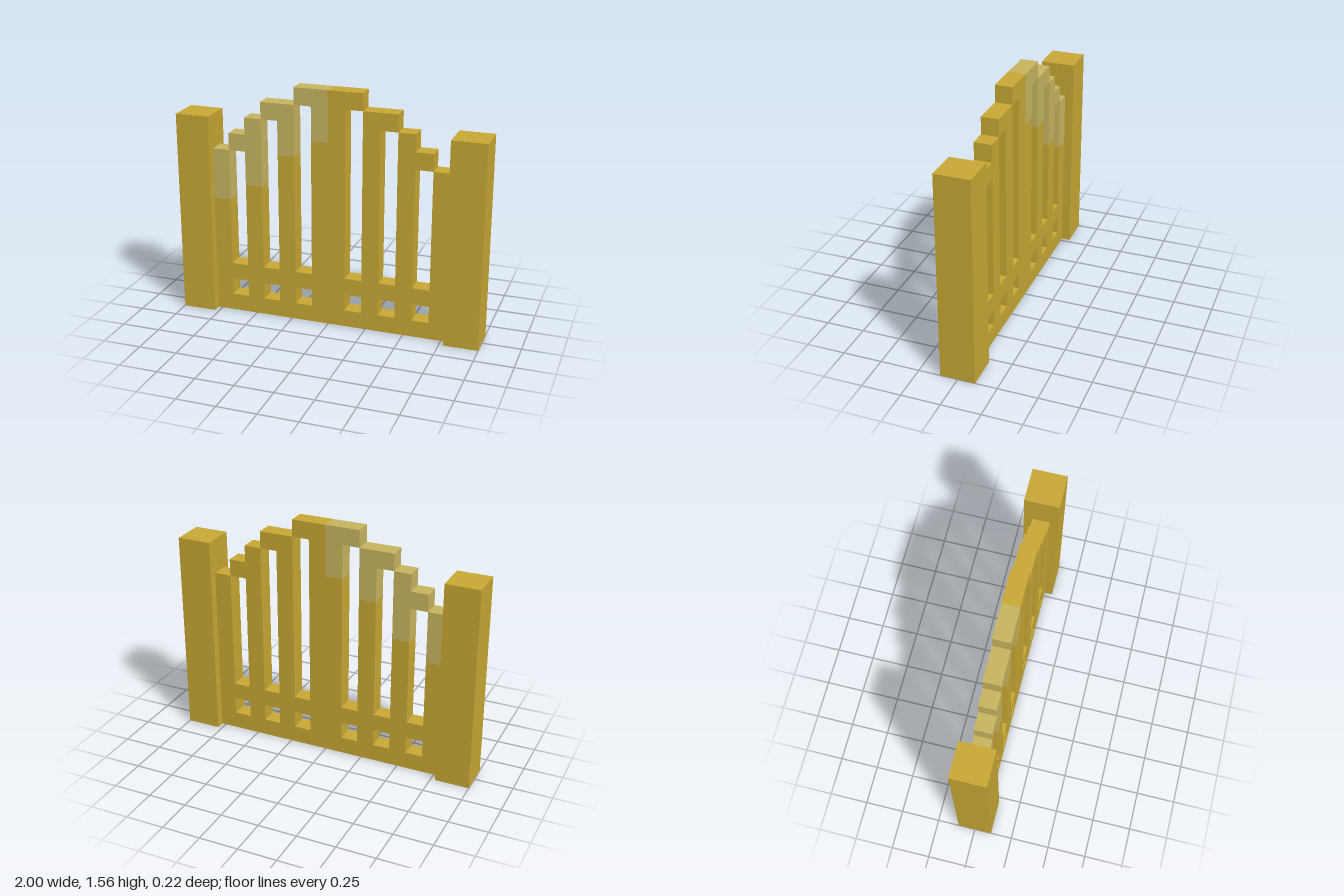
import * as THREE from 'three';

const U = 1 / 9; // every part sits on a grid of this unit

export function createModel() {
  const gold = new THREE.MeshStandardMaterial({ color: 0xc8a834 });
  gold.name = 'gold';
  const paleGold = new THREE.MeshStandardMaterial({ color: 0xc8b560 });
  paleGold.name = 'paleGold';

  const gate = new THREE.Group();
  gate.name = 'gate';

  // Box from grid limits, centred on z = 0
  const block = (name, x0, x1, y0, y1, depth, material) => {
    const mesh = new THREE.Mesh(new THREE.BoxGeometry((x1 - x0) * U, (y1 - y0) * U, depth * U), material);
    mesh.position.set((x0 + x1) / 2 * U, (y0 + y1) / 2 * U, 0);
    mesh.name = name;
    gate.add(mesh);
  };

  const rectangle = (path, x0, x1, y0, y1) => path
    .moveTo(x0 * U, y0 * U).lineTo(x1 * U, y0 * U).lineTo(x1 * U, y1 * U).lineTo(x0 * U, y1 * U).closePath();

  // Bottom rails with a row of square openings
  const base = rectangle(new THREE.Shape(), -7, 7, 0, 3);
  for (const x of [-6, -4, -2, 1, 3, 5]) base.holes.push(rectangle(new THREE.Path(), x, x + 1, 1, 2));
  const baseGeometry = new THREE.ExtrudeGeometry(base, { depth: U, bevelEnabled: false });
  baseGeometry.translate(0, 0, -U / 2);
  const lattice = new THREE.Mesh(baseGeometry, gold);
  lattice.name = 'bottomRails';
  gate.add(lattice);

  // Pickets: inner edge, width, top, and where the pale upper end starts on the right
  const pickets = [[0, 1, 14, 11], [2, 1, 13, 10], [4, 1, 12, 8], [6, 1, 10, 7]];
  for (const [x, width, top, fade] of pickets) {
    block('leftPicket', x, x + width, 3, top, 1, gold);
    block('rightPicket', -x - width, -x, 3, fade, 1, gold);
    block('rightPicketEnd', -x - width, -x, fade, top, 1, paleGold);
  }

  // Stepped arch pieces closing the tall slots
  for (const [x, y] of [[1, 13], [3, 12], [5, 10]]) {
    block('leftArchStep', x, x + 1, y, y + 1, 1, gold);
    block('rightArchStep', -x - 1, -x, y, y + 1, 1, paleGold);
  }

  // Gate posts
  block('leftPost', 7, 9, 0, 12, 2, gold);
  block('rightPost', -9, -7, 0, 12, 2, gold);

  return gate;
}
